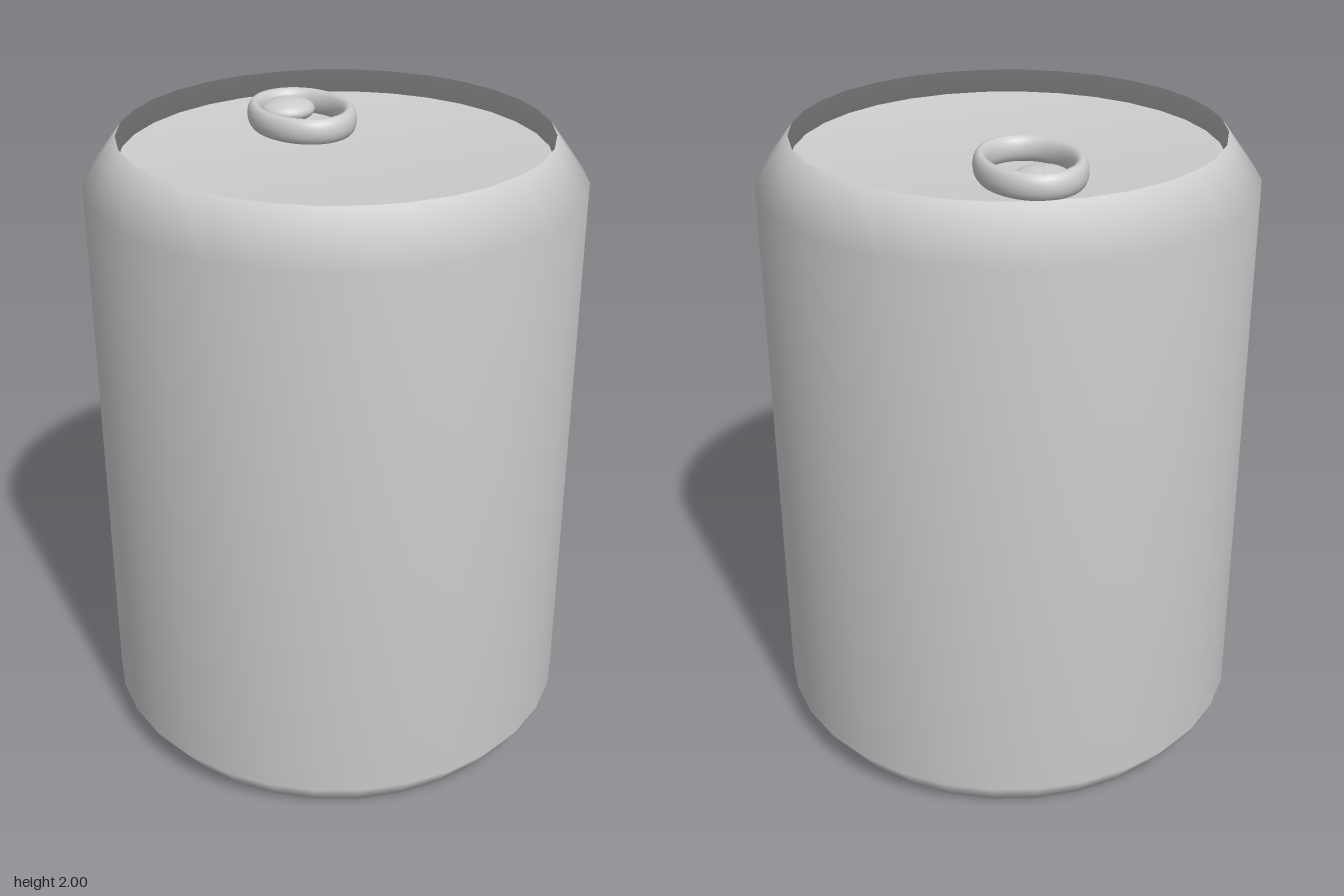
import * as THREE from 'three';

export function createModel() {
  const model = new THREE.Group();
  const metal = new THREE.MeshStandardMaterial({ color: 0xcccccc });
  metal.name = 'grey metal';

  const add = (name, geometry, x, y, z) => {
    const mesh = new THREE.Mesh(geometry, metal);
    mesh.name = name;
    mesh.position.set(x, y, z);
    model.add(mesh);
    return mesh;
  };

  // Can body: base, bevels, wall, rim and recessed lid in one smooth shell
  const profile = [
    [0, 0], [0.68, 0], [0.758, 0.105], [0.758, 1.85],
    [0.652, 1.994], [0.65, 1.92], [0, 1.92],
  ].map(([r, y]) => new THREE.Vector2(r, y));
  add('canBody', new THREE.LatheGeometry(profile, 32), 0, 0, 0);

  // Oval pull ring standing on the lid, towards the back
  const ring = new THREE.TorusGeometry(0.14, 0.021, 16, 48);
  ring.rotateX(Math.PI / 2);
  ring.scale(1, 0.04 / 0.021, 1.27);
  add('pullRing', ring, 0.025, 1.96, -0.27);

  // Flattened rivet at the back end of the ring
  const rivet = new THREE.SphereGeometry(0.087, 32, 16);
  rivet.scale(1, 0.42, 0.93);
  add('rivet', rivet, 0.025, 1.955, -0.365);

  return model;
}
